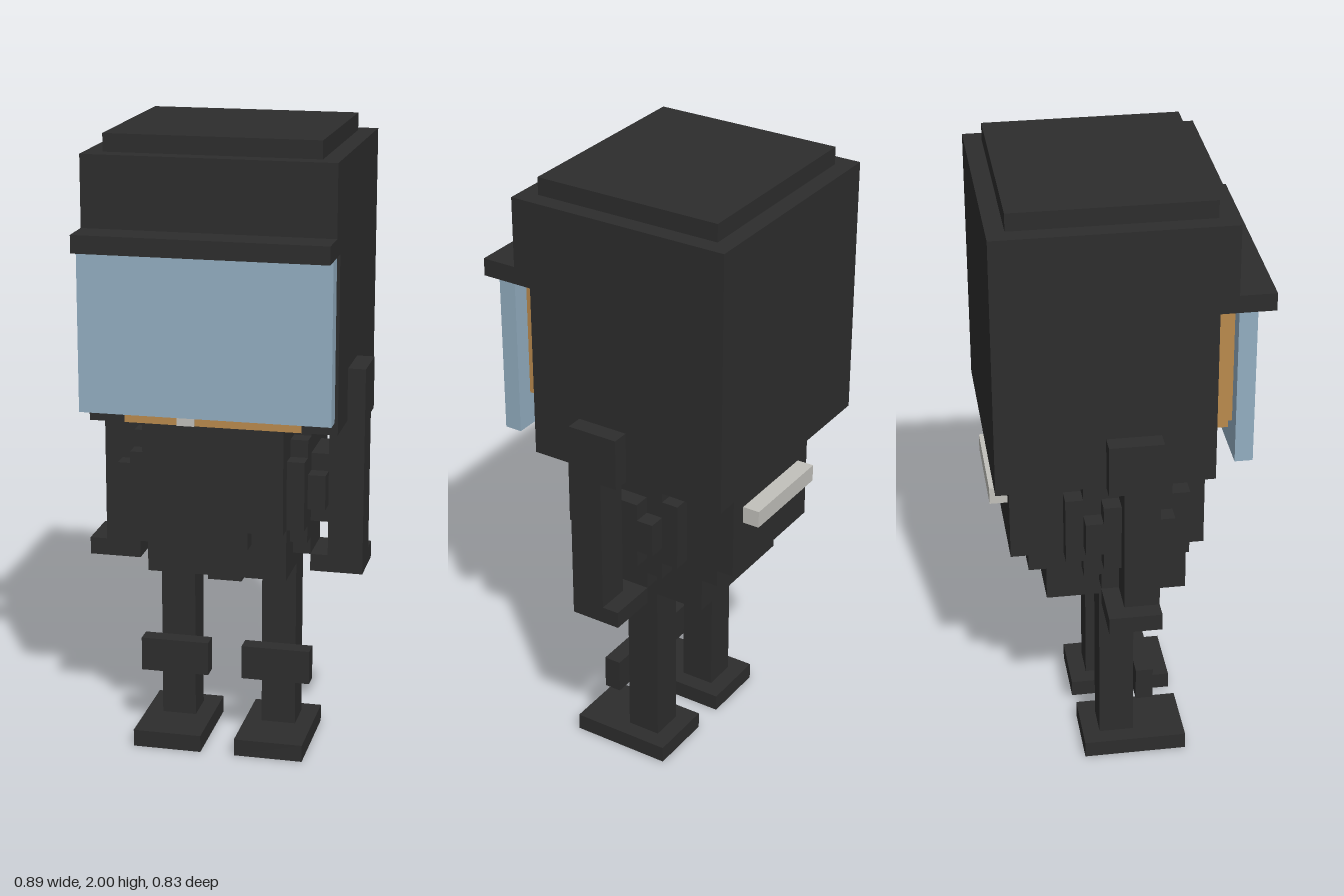
import * as THREE from 'three';

const U = 1 / 18; // size of one block unit

export function createModel() {
  const model = new THREE.Group();
  model.name = 'blockTrooper';

  const material = (name, color) => {
    const m = new THREE.MeshStandardMaterial({ color });
    m.name = name;
    return m;
  };
  const black = material('blackArmour', 0x2d2d2d);
  const glass = material('paleBlueVisor', 0x93aec1);
  const skin = material('tanSkin', 0xba8a4d);
  const grey = material('lightGrey', 0xc2c1bb);

  // Box given by its limits in block units: x0..x1, y0..y1, z0..z1
  const box = (name, mat, x0, x1, y0, y1, z0, z1, parent = model) => {
    const geo = new THREE.BoxGeometry((x1 - x0) * U, (y1 - y0) * U, (z1 - z0) * U);
    geo.translate(((x0 + x1) / 2) * U, ((y0 + y1) / 2) * U, ((z0 + z1) / 2) * U);
    const mesh = new THREE.Mesh(geo, mat);
    mesh.name = name;
    parent.add(mesh);
  };
  // Same box on both sides of x = 0
  const pair = (name, mat, x0, x1, ...rest) => {
    box(name + 'Left', mat, x0, x1, ...rest);
    box(name + 'Right', mat, -x1, -x0, ...rest);
  };

  // Helmet: crown, walls, cap and brim
  box('helmetCrown', black, -7, 7, 30, 35, -7.5, 5.5);
  box('helmetCap', black, -6, 6, 35, 36, -6.5, 4.5);
  box('helmetBrim', black, -7, 7, 30, 31, 5.5, 7.5);
  box('helmetBack', black, -7, 7, 20, 30, -7.5, -6.5);
  pair('helmetSide', black, 6, 7, 20, 30, -6.5, 4.5);
  pair('chinStrap', black, 5, 6, 20, 21, 3.5, 4.5);

  // Head inside the helmet
  box('head', skin, -6, 6, 21, 30, -6.5, 4.5);
  box('chin', skin, -5, 5, 20, 21, -5.5, 4.5);
  box('face', skin, -6, 6, 23, 30, 4.5, 5.5);
  box('lowerFace', skin, -5, 5, 22, 23, 4.5, 5.5);
  box('tooth', grey, -2, -1, 20, 21, 4.5, 4.6);

  box('visor', glass, -7, 7, 21, 30, 5.5, 6.5);

  // Torso with stepped chest and backpack layers
  box('torso', black, -4, 4, 12, 20, -4.5, 3.5);
  box('waist', black, -4, 4, 11, 12, -4.5, 3.5);
  box('chestPlate', black, -4, 4, 14, 20, 3.5, 4.5);
  box('chestPlateTip', black, -2, 2, 13, 14, 3.5, 4.5);
  box('backpackInner', black, -4, 4, 13, 19, -5.5, -4.5);
  box('backpack', black, -4, 4, 14, 20, -6.5, -5.5);
  box('backpackBar', grey, -3, 3, 17, 18, -7.5, -6.5);
  box('hips', black, -4, 4, 10, 11, -1.5, 0.5);
  box('crotch', black, -1, 1, 10, 11, -2.5, 1.5);

  // Rounded side pads, as rows of y0, y1, half depth
  [[12, 13, 1.5], [13, 14, 2.5], [14, 18, 3.5], [18, 19, 2.5], [19, 20, 1.5]].forEach(
    ([y0, y1, d]) => pair('sidePad', black, 4, 5, y0, y1, -d, d));
  pair('sideBoss', black, 5, 6, 14, 18, -1.5, 1.5);
  pair('sideBossRim', black, 5, 6, 15, 17, -2.5, 2.5);

  // Arms: the right one sits closer to the body
  box('armLeft', black, 6, 8, 12, 20, -0.5, 1.5);
  box('armRight', black, -7, -5, 12, 20, -0.5, 1.5);
  pair('shoulderPad', black, 7, 8, 20, 23, -1.5, 1.5);
  pair('hand', black, 5, 8, 11, 12, -1.5, 1.5);

  // Legs
  pair('leg', black, 2, 4, 1, 11, -1.5, 0.5);
  pair('kneePad', black, 1, 5, 4, 6, 0.5, 1.5);
  pair('foot', black, 1, 5, 0, 1, -2.5, 3.5);

  return model;
}
